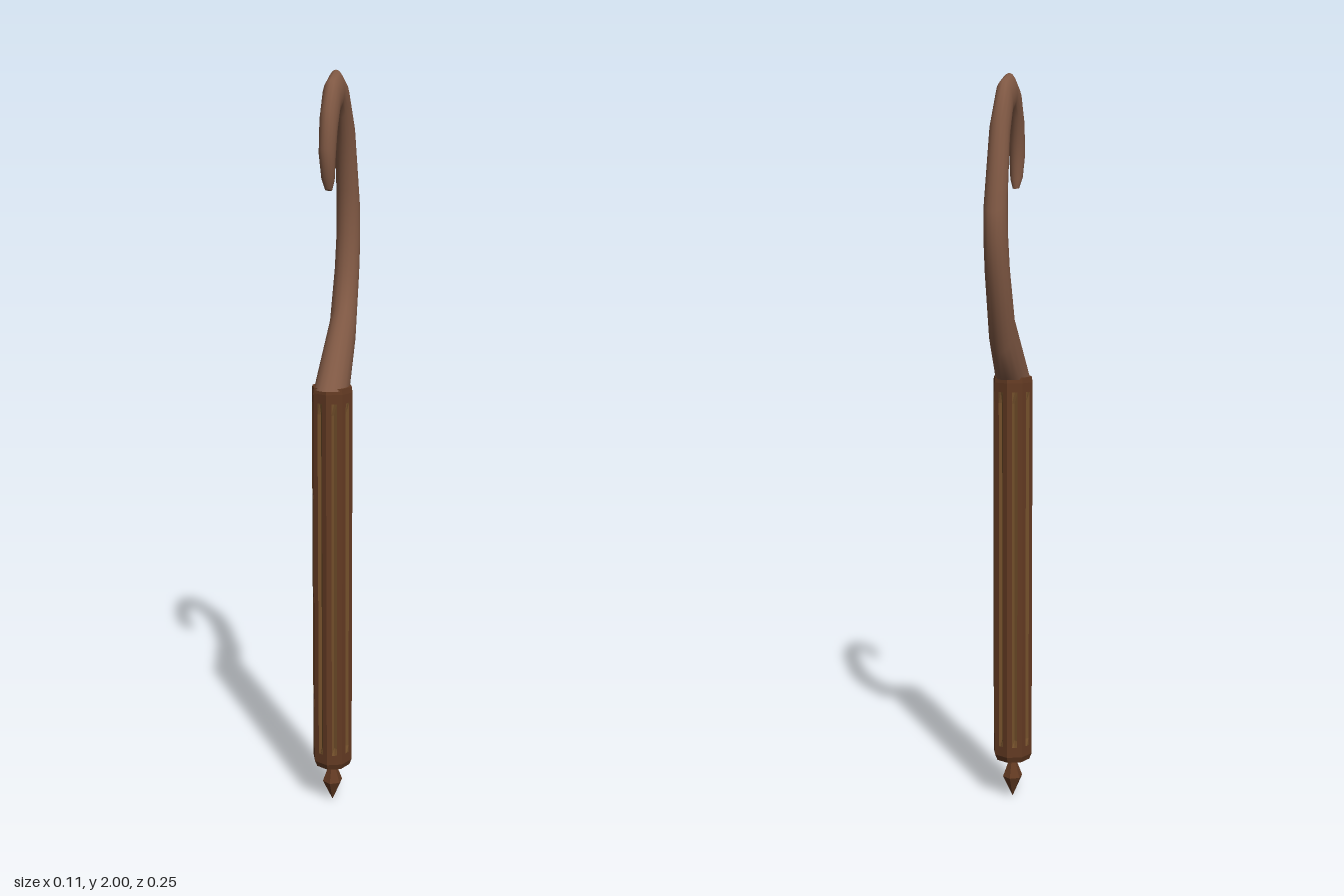
import * as THREE from 'three';

// Skin a list of equal-length rings (anticlockwise about the travel direction) and cap both ends.
function loft(rings) {
  const n = rings[0].length, pos = [], idx = [];
  for (const ring of rings) for (const p of ring) pos.push(...p);
  for (let i = 0; i < rings.length - 1; i++) {
    for (let j = 0; j < n; j++) {
      const k = (j + 1) % n;
      const a = i * n + j, b = i * n + k, c = a + n, d = b + n;
      idx.push(a, b, d, a, d, c);
    }
  }
  for (const last of [false, true]) {
    const ring = rings[last ? rings.length - 1 : 0];
    const base = pos.length / 3;
    for (const p of ring) pos.push(...p);
    pos.push(...[0, 1, 2].map((m) => ring.reduce((s, p) => s + p[m], 0) / n));
    for (let j = 0; j < n; j++) {
      const k = (j + 1) % n;
      idx.push(base + n, base + (last ? j : k), base + (last ? k : j));
    }
  }
  const geo = new THREE.BufferGeometry();
  geo.setAttribute('position', new THREE.Float32BufferAttribute(pos, 3));
  geo.setIndex(idx);
  geo.computeVertexNormals();
  return geo;
}

function faceted(geometry) {
  const geo = geometry.toNonIndexed();
  geo.computeVertexNormals();
  return geo;
}

// Octagonal ring with a V groove of the given depth along the middle of each face.
function gripRing([y, radius, depth]) {
  const pts = [];
  for (let s = 0; s < 8; s++) {
    const a = (s * Math.PI) / 4, b = a + Math.PI / 4, m = a + Math.PI / 8;
    for (const t of [0, 0.33, 0.5, 0.67]) {
      const cut = t === 0.5 ? depth : 0;
      const x = radius * (Math.sin(a) * (1 - t) + Math.sin(b) * t) - Math.sin(m) * cut;
      const z = radius * (Math.cos(a) * (1 - t) + Math.cos(b) * t) - Math.cos(m) * cut;
      pts.push([x, y, z]);
    }
  }
  return pts;
}

// Elliptical hook ring between an outer and inner edge point in the side plane.
function hookRing([oz, oy, iz, iy, halfWidth]) {
  const pts = [];
  for (let j = 0; j < 16; j++) {
    const a = (j / 16) * Math.PI * 2, c = Math.cos(a) / 2;
    pts.push([-Math.sin(a) * halfWidth, (oy + iy) / 2 + (oy - iy) * c, (oz + iz) / 2 + (oz - iz) * c]);
  }
  return pts;
}

export function createModel() {
  const model = new THREE.Group();
  const material = (name, color) => {
    const mat = new THREE.MeshStandardMaterial({ color });
    mat.name = name;
    return mat;
  };
  const darkWood = material('dark wood', 0x643b23);
  const grooveWood = material('groove wood', 0x74502b);
  const hookBrown = material('hook brown', 0x825a45);
  const add = (name, geo, mat, z = 0) => {
    const mesh = new THREE.Mesh(geo, mat);
    mesh.name = name;
    mesh.position.z = z;
    model.add(mesh);
  };
  const axisZ = 0.063;

  // Fluted octagonal grip, bevelled at both ends: y, radius, groove depth
  const gripRows = [
    [0.115, 0.049, 0],
    [0.132, 0.056, 0],
    [0.16, 0.056, 0],
    [0.18, 0.056, 0.006],
    [1.13, 0.056, 0.006],
    [1.16, 0.056, 0],
    [1.185, 0.056, 0],
    [1.2, 0.054, 0],
  ];
  const grip = faceted(loft(gripRows.map(gripRing)));
  const quads = (gripRows.length - 1) * 32;
  for (let q = 0; q < quads; q++) {
    const row = Math.floor(q / 32);
    const inGroove = row >= 2 && row <= 4 && (q % 4 === 1 || q % 4 === 2);
    grip.addGroup(q * 6, 6, inGroove ? 1 : 0);
  }
  grip.addGroup(quads * 6, 2 * 32 * 3, 0);
  add('grip', grip, [darkWood, grooveWood], axisZ);

  // Pointed pommel with a narrow neck
  const profile = [[0, 0], [0.028, 0.06], [0.011, 0.105], [0.014, 0.118]];
  const pommel = new THREE.LatheGeometry(profile.map(([r, y]) => new THREE.Vector2(r, y)), 6);
  add('pommel', faceted(pommel), darkWood, axisZ);

  // Curved hook: outer z, outer y, inner z, inner y, half width
  const sections = [
    [0.006, 1.194, 0.122, 1.194, 0.046],
    [-0.058, 1.27, -0.02, 1.397, 0.036],
    [-0.11, 1.47, -0.048, 1.5, 0.033],
    [-0.124, 1.555, -0.061, 1.59, 0.032],
    [-0.124, 1.635, -0.06, 1.7, 0.031],
    [-0.08, 1.873, -0.034, 1.81, 0.027],
    [-0.03, 1.974, 0, 1.878, 0.024],
    [0.025, 2.0, 0.025, 1.9, 0.024],
    [0.074, 1.974, 0.053, 1.88, 0.024],
    [0.11, 1.905, 0.074, 1.82, 0.023],
    [0.127, 1.81, 0.081, 1.767, 0.021],
    [0.112, 1.738, 0.081, 1.728, 0.017],
    [0.1, 1.708, 0.083, 1.704, 0.009],
  ];
  add('hook', loft(sections.map(hookRing)), hookBrown);
  return model;
}
